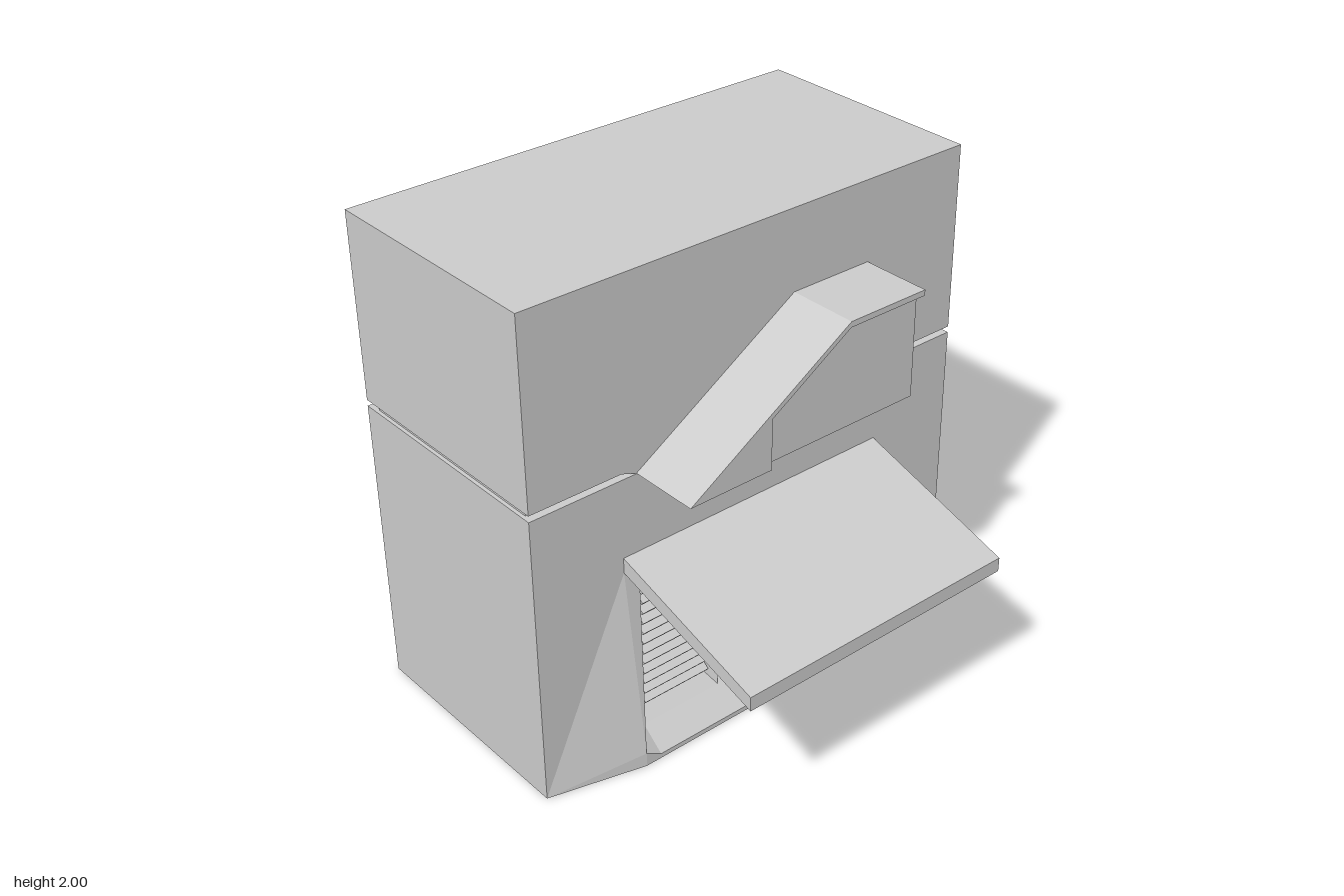
import * as THREE from 'three';

const mat = new THREE.MeshStandardMaterial({ color: 0xcccccc, flatShading: true });
const thin = new THREE.MeshStandardMaterial({ color: 0xcccccc, flatShading: true, side: THREE.DoubleSide });

function add(parent, name, geometry, material = mat) {
  const mesh = new THREE.Mesh(geometry, material);
  mesh.name = name;
  parent.add(mesh);
  return mesh;
}

// Box given by its minimum and maximum corners
function block(parent, name, a, b) {
  const g = new THREE.BoxGeometry(b[0] - a[0], b[1] - a[1], b[2] - a[2]);
  g.translate((a[0] + b[0]) / 2, (a[1] + b[1]) / 2, (a[2] + b[2]) / 2);
  return add(parent, name, g);
}

// Profile of [z, y] points extruded along x from x0 to x1
function sideExtrude(points, x0, x1, hole) {
  const v = (list) => list.map(([z, y]) => new THREE.Vector2(-z, y));
  const shape = new THREE.Shape(v(points));
  if (hole) shape.holes.push(new THREE.Path(v(hole)));
  const g = new THREE.ExtrudeGeometry(shape, { depth: x1 - x0, bevelEnabled: false });
  return g.rotateY(Math.PI / 2).translate(x0, 0, 0);
}

// Flat panels, each a convex loop of [x, y, z] corners
function panels(loops) {
  const pos = [];
  for (const p of loops)
    for (let i = 1; i < p.length - 1; i++) pos.push(...p[0], ...p[i], ...p[i + 1]);
  const g = new THREE.BufferGeometry();
  g.setAttribute('position', new THREE.Float32BufferAttribute(pos, 3));
  g.computeVertexNormals();
  return g;
}

const BACK = -0.835, FACE = 0.16, LIP = 0.26;   // x of back, side wall, flared lip
const IN = 0.545, OUT = 0.613;                  // half widths of the grille and its frame
const TOP = 0.83, SILL = 0.1;                   // grille height limits

export function createModel() {
  const model = new THREE.Group();
  model.name = 'ventilationCabinet';

  // Cabinet: upper box, recessed seam, lower box with a grille cut-out
  block(model, 'upperCabinet', [BACK, 1.243, -1], [FACE, 2, 1]);
  block(model, 'seam', [-0.78, 1.2, -0.985], [0.12, 1.26, 0.985]);
  add(model, 'seamFiller', sideExtrude(
    [[0.545, 1.22], [0.61, 1.243], [-0.54, 1.243], [-0.54, 1.22]], 0.1, FACE));
  block(model, 'lowerCabinet', [BACK, 0, -1], [0.06, 1.218, 1]);
  add(model, 'lowerCabinetFront', sideExtrude(
    [[1, 0], [-1, 0], [-1, 1.218], [1, 1.218]], 0.06, FACE,
    [[IN, SILL], [-IN, SILL], [-IN, TOP], [IN, TOP]]));

  // Flared skirt with its slanted grille surround
  for (const s of [1, -1]) {
    add(model, s > 0 ? 'leftSkirt' : 'rightSkirt', panels([
      [[FACE, 0, s], [LIP, 0, s * OUT], [LIP, 0.06, s * OUT], [FACE, TOP, s * OUT], [FACE, TOP, s]],
      [[LIP, 0.06, s * OUT], [FACE, SILL, s * IN], [FACE, TOP, s * IN], [FACE, TOP, s * OUT]],
      [[LIP, 0.06, s * OUT], [LIP, 0.02, s * IN], [FACE, SILL, s * IN]],
      [[LIP, 0, s * OUT], [LIP, 0, s * IN], [LIP, 0.02, s * IN], [LIP, 0.06, s * OUT]],
    ]), thin);
  }
  add(model, 'sill', panels([
    [[LIP, 0, IN], [LIP, 0, -IN], [LIP, 0.02, -IN], [LIP, 0.02, IN]],
    [[LIP, 0.02, IN], [LIP, 0.02, -IN], [FACE, SILL, -IN], [FACE, SILL, IN]],
    [[FACE, 0, 1], [FACE, 0, -1], [LIP, 0, -OUT], [LIP, 0, OUT]],
  ]), thin);

  // Three bevelled bays filled with louvres
  const grille = new THREE.Group();
  grille.name = 'grille';
  model.add(grille);
  const width = (2 * IN) / 3, rows = 14, deep = 0.09, inset = 0.035;
  for (let b = -1; b <= 1; b++) {
    const rect = (x, w, y0, y1) => [
      [x, y0, b * width + w], [x, y0, b * width - w], [x, y1, b * width - w], [x, y1, b * width + w]];
    const outer = rect(FACE, width / 2, SILL, TOP);
    const inner = rect(deep, width / 2 - inset, 0.16, 0.8);
    const loops = [inner];
    for (let i = 0; i < 4; i++) {
      const j = (i + 1) % 4;
      loops.push([outer[i], outer[j], inner[j], inner[i]]);
    }
    add(grille, 'bay', panels(loops), thin);
    for (let r = 0; r < rows; r++) {
      const slat = add(grille, 'louvre', new THREE.BoxGeometry(0.05, 0.012, width - 2 * inset + 0.015));
      slat.position.set(0.115, 0.185 + (r * 0.6) / (rows - 1), b * width);
      slat.rotation.z = -0.65;
    }
  }

  // Sloping awning above the grille
  const awning = new THREE.Shape([[FACE, 0.83], [0.835, 0.628], [0.835, 0.687], [FACE, 0.893]]
    .map(([x, y]) => new THREE.Vector2(x, y)));
  add(model, 'awning', new THREE.ExtrudeGeometry(awning, { depth: 2 * OUT, bevelEnabled: false })
    .translate(0, 0, -OUT));

  // Slanted hood: solid core plus a rim around the recessed outer panel
  add(model, 'hoodCore', sideExtrude(
    [[0.545, 1.22], [-0.18, 1.673], [-0.54, 1.673], [-0.54, 1.22]], FACE, 0.41));
  add(model, 'hoodRim', sideExtrude(
    [[0.545, 1.22], [-0.18, 1.673], [-0.54, 1.673], [-0.54, 1.65],
      [-0.18, 1.65], [0.18, 1.425], [0.18, 1.22]], 0.41, 0.45));

  return model;
}
